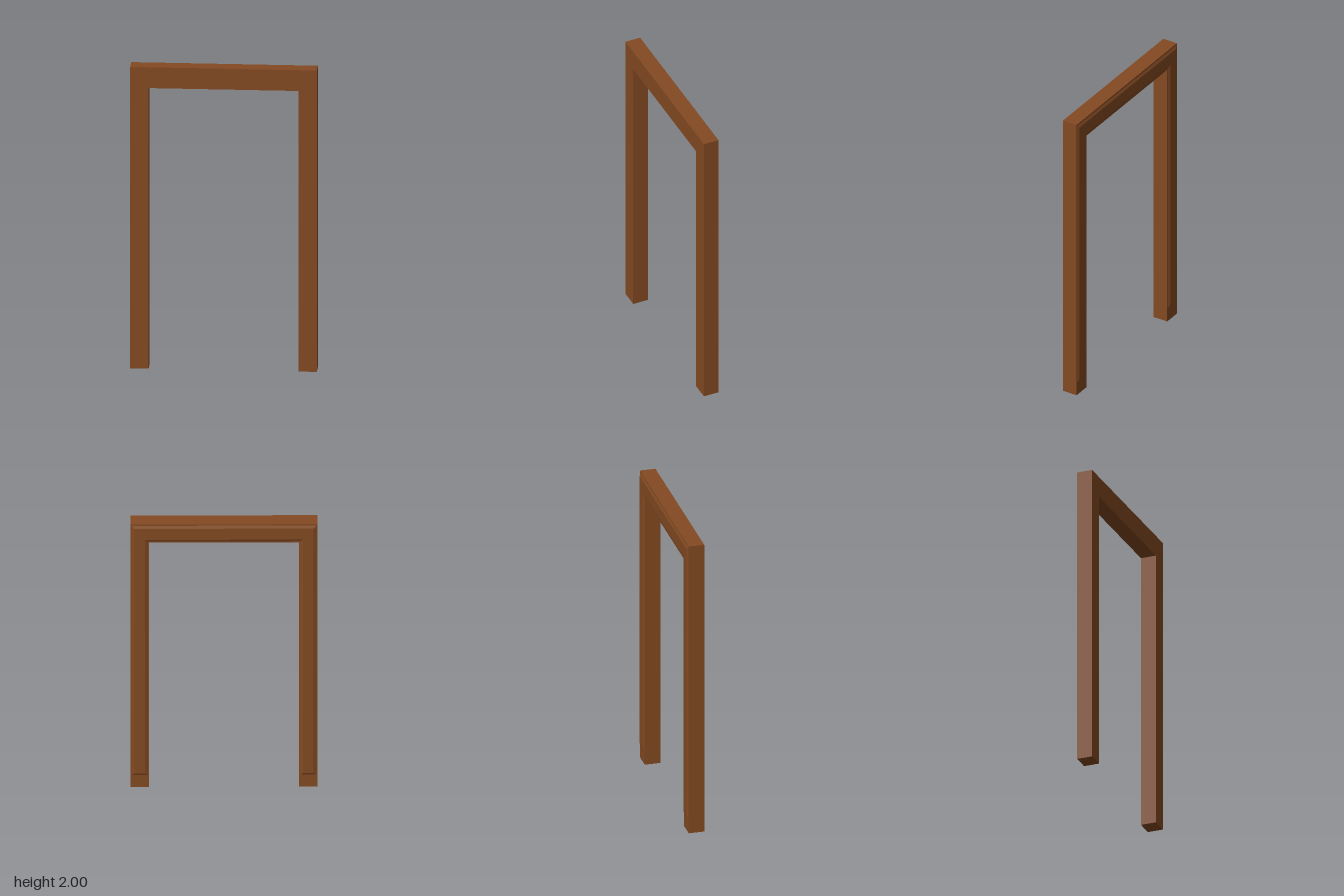
import * as THREE from 'three';

// Arch outline: two legs joined by a lintel, open at the bottom
function archShape(outerX, innerX, bottom, top, under) {
  return new THREE.Shape([
    [-outerX, bottom], [-innerX, bottom], [-innerX, under], [innerX, under],
    [innerX, bottom], [outerX, bottom], [outerX, top], [-outerX, top],
  ].map(([x, y]) => new THREE.Vector2(x, y)));
}

export function createModel() {
  const group = new THREE.Group();
  group.name = 'doorFrame';
  const wood = new THREE.MeshStandardMaterial({ color: 0x834a22 });
  wood.name = 'brown wood';

  const back = -0.047;
  const front = 0.055;

  // Square-edged frame
  const frame = new THREE.Mesh(
    new THREE.ExtrudeGeometry(archShape(0.592, 0.475, 0, 2, 1.862), {
      depth: front - back, bevelEnabled: false,
    }), wood);
  frame.name = 'frame';
  frame.position.z = back;
  group.add(frame);

  // Shallow bevelled moulding on the back, ending above the feet
  const bevel = 0.018;
  const moulding = new THREE.Mesh(
    new THREE.ExtrudeGeometry(archShape(0.585, 0.482, 0.09, 1.99, 1.87), {
      depth: 0.002, bevelEnabled: true, bevelSegments: 1,
      bevelThickness: 0.008, bevelSize: bevel, bevelOffset: -bevel,
    }), wood);
  moulding.name = 'backMoulding';
  moulding.position.z = back;
  group.add(moulding);

  return group;
}
